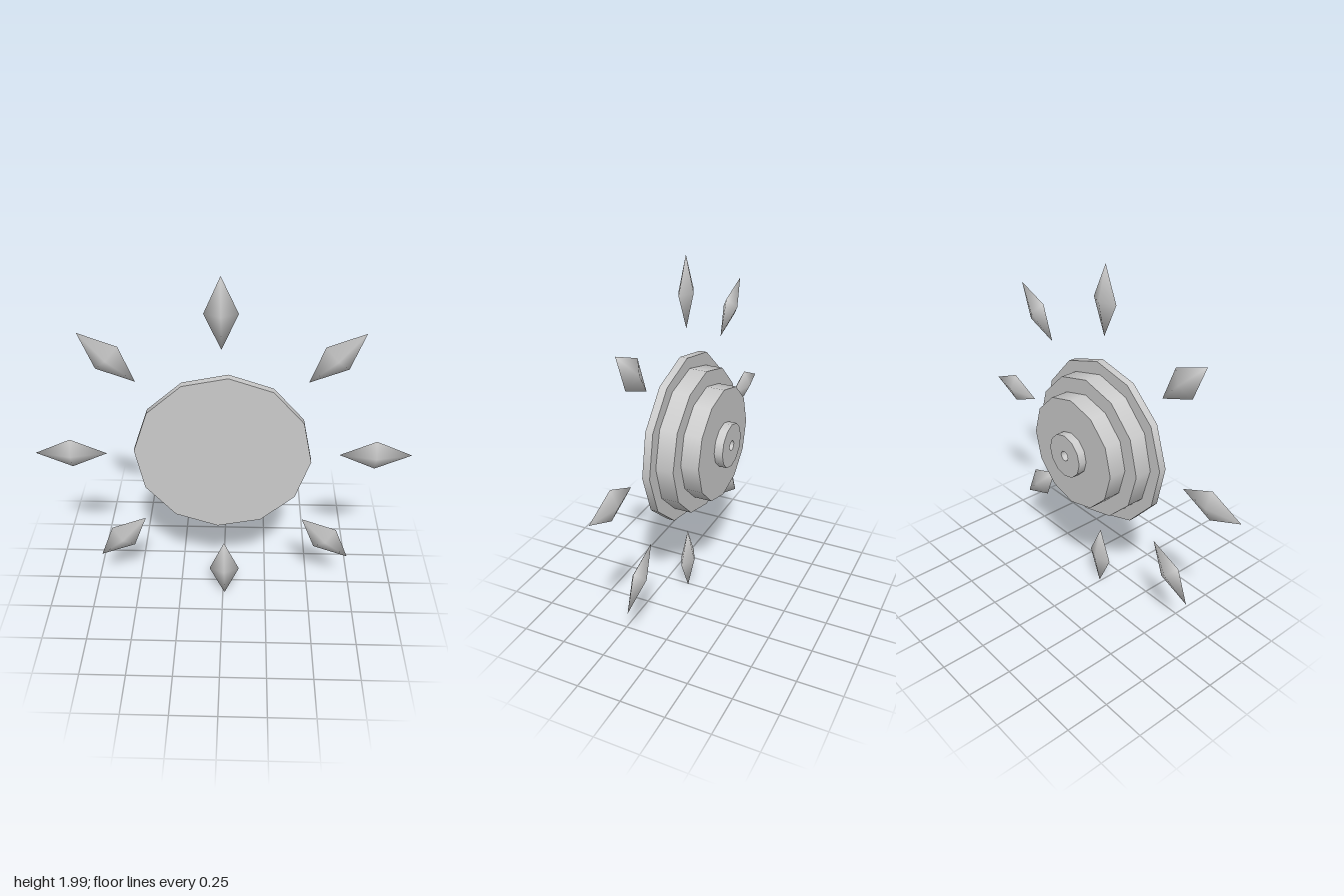
import * as THREE from 'three';

const CENTER_Y = 1.005;
const SIDES = 12;

export function createModel() {
  const model = new THREE.Group();
  const material = new THREE.MeshStandardMaterial({ color: 0xcccccc });
  const inside = new THREE.MeshStandardMaterial({ color: 0xcccccc, side: THREE.BackSide });

  const body = new THREE.Group();
  body.name = 'steppedBody';
  body.position.y = CENTER_Y;
  model.add(body);

  const add = (parent, name, geometry, mat = material) => {
    const mesh = new THREE.Mesh(geometry, mat);
    mesh.name = name;
    parent.add(mesh);
    return mesh;
  };

  // Twelve-sided slab lying along z between two depths
  const slab = (radius, z0, z1, open = false) =>
    new THREE.CylinderGeometry(radius, radius, z1 - z0, SIDES, 1, open)
      .rotateX(Math.PI / 2)
      .translate(0, 0, (z0 + z1) / 2);

  // Front disc, slightly turned, and the two steps behind it
  add(body, 'frontDisc', slab(0.468, 0.088, 0.13)).rotation.z = -0.06;
  add(body, 'middleStep', slab(0.4, -0.01, 0.088));
  add(body, 'backStep', slab(0.314, -0.11, -0.01));

  // Rear hub with a small round hole
  const hub = new THREE.Group();
  hub.name = 'rearHub';
  body.add(hub);
  const hole = 0.028;
  add(hub, 'hubRim', slab(0.123, -0.157, -0.11, true));
  add(hub, 'hubHole', slab(hole, -0.157, -0.11, true), inside);
  add(hub, 'hubFace', new THREE.RingGeometry(hole, 0.123, SIDES, 1).rotateY(Math.PI).translate(0, 0, -0.157));

  // Eight pointed four-sided rays around the disc
  const rayGeometry = new THREE.SphereGeometry(1, 4, 2).scale(0.085, 0.19, 0.042);
  for (let i = 0; i < 8; i++) {
    const angle = (i * Math.PI) / 4 + 0.01;
    const ray = add(model, 'ray', rayGeometry);
    ray.position.set(Math.cos(angle) * 0.805, CENTER_Y + Math.sin(angle) * 0.805, 0.108);
    ray.rotation.z = angle - Math.PI / 2;
  }
  return model;
}
